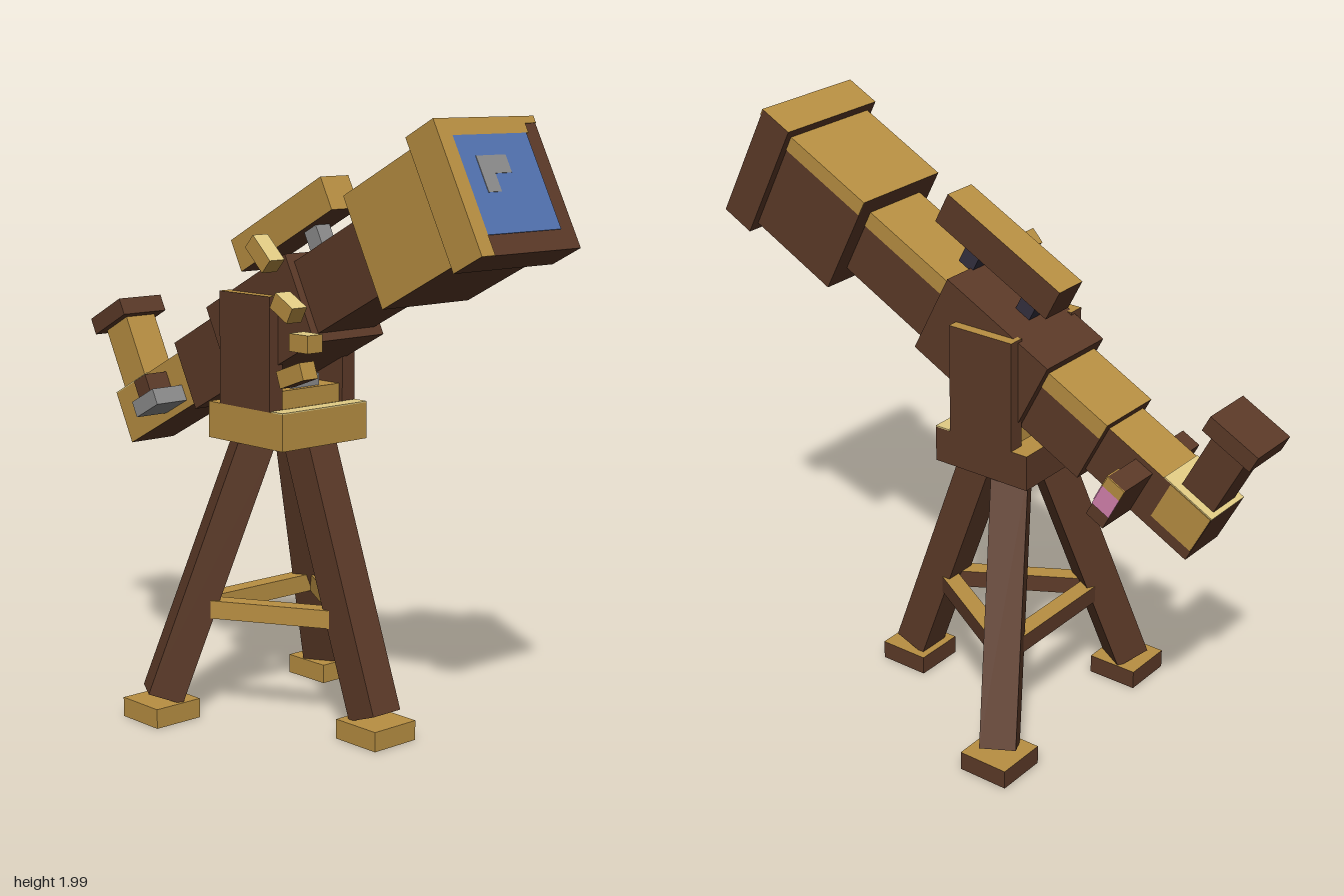
import * as THREE from 'three';

const mat = (name, color) => {
  const m = new THREE.MeshStandardMaterial({ color });
  m.name = name;
  return m;
};
const brown = mat('dark wood', 0x5c3a28);
const gold = mat('brass', 0xb88f42);
const pale = mat('pale brass', 0xe2cc84);
const blue = mat('lens blue', 0x5272b0);
const grey = mat('steel grey', 0x8c8c8c);
const navy = mat('dark steel', 0x34303f);
const pink = mat('pink', 0xd482ae);

// Face order: +x, -x, top, bottom, front, back
const trimmed = [brown, gold, gold, brown, gold, brown];
const tubeSkin = [brown, gold, gold, brown, brown, brown];
const topped = [brown, brown, gold, brown, brown, brown];

export function createModel() {
  const model = new THREE.Group();
  model.name = 'telescope';

  // Box given by its lower and upper limits on each axis
  const box = (parent, name, x0, x1, y0, y1, z0, z1, material) => {
    const mesh = new THREE.Mesh(new THREE.BoxGeometry(x1 - x0, y1 - y0, z1 - z0), material);
    mesh.position.set((x0 + x1) / 2, (y0 + y1) / 2, (z0 + z1) / 2);
    mesh.name = name;
    parent.add(mesh);
    return mesh;
  };

  // Tripod legs and feet, spaced evenly about the base
  const cz = -0.05;
  const angles = [0, 2 * Math.PI / 3, -2 * Math.PI / 3];
  const around = (a, r) => [Math.sin(a) * r, cz + Math.cos(a) * r];
  for (const a of angles) {
    const pivot = new THREE.Group();
    pivot.name = 'legPivot';
    pivot.position.z = cz;
    pivot.rotation.y = a;
    model.add(pivot);
    const leg = box(pivot, 'leg', -0.06, 0.06, -0.46, 0.46, -0.06, 0.06, brown);
    leg.position.set(0, 0.51, 0.264);
    leg.rotation.x = -Math.atan2(0.314, 0.86);
    const [fx, fz] = around(a, 0.427);
    box(model, 'foot', fx - 0.09, fx + 0.09, 0, 0.065, fz - 0.09, fz + 0.09, trimmed);
  }

  // Braces between the legs
  const braceEnds = [[angles[2], angles[0]], [angles[0], angles[1]], [angles[2], angles[1]]];
  braceEnds.forEach(([a, b], i) => {
    const [ax, az] = around(a, 0.314);
    const [bx, bz] = around(b, 0.314);
    const h = Math.hypot(bx - ax, bz - az) / 2;
    const skin = [brown, brown, gold, brown, i === 1 ? brown : gold, i === 1 ? gold : brown];
    const brace = box(model, 'brace', -h, h, 0.345, 0.405, -0.03, 0.03, skin);
    brace.position.set((ax + bx) / 2, 0.375, (az + bz) / 2);
    brace.rotation.y = Math.atan2(az - bz, bx - ax);
  });

  // Mount: base block, dial and fork
  box(model, 'mountBase', -0.185, 0.185, 0.93, 1.05, -0.23, 0.135, trimmed);
  box(model, 'baseTrim', -0.185, 0.185, 1.05, 1.054, 0.08, 0.135, pale);
  box(model, 'dialBase', -0.13, 0.13, 1.05, 1.11, -0.15, 0.06, gold);
  box(model, 'dial', -0.06, 0.06, 1.11, 1.15, -0.11, 0.04, grey);
  for (const s of [-1, 1]) {
    const fork = box(model, 'forkArm', -0.0275, 0.0275, 1.05, 1.42, -0.17, 0.075, topped);
    fork.position.x = s * 0.1585;
  }

  // Tilted optical tube; local z runs along its axis
  const tube = new THREE.Group();
  tube.name = 'opticalTube';
  tube.position.y = 1.33;
  tube.rotation.x = -THREE.MathUtils.degToRad(27.5);
  model.add(tube);
  const section = (name, half, z0, z1, skin) => box(tube, name, -half, half, -half, half, z0, z1, skin);
  section('lensHood', 0.213, 0.9, 1.02, tubeSkin);
  section('frontBarrel', 0.185, 0.56, 0.9, tubeSkin);
  section('neck', 0.122, 0.2, 0.56, topped);
  section('middleBlock', 0.15, -0.24, 0.2, brown);
  section('rearBarrel', 0.12, -0.49, -0.24, topped);
  section('eyeTube', 0.093, -0.916, -0.49, tubeSkin);

  // Brass strips along the upper edge of the side
  const strips = [[0.185, 0.132, 0.185, 0.56, 0.9], [0.122, 0.065, 0.122, 0.2, 0.56],
    [0.12, 0.06, 0.12, -0.49, -0.24], [0.093, -0.052, 0.093, -0.914, -0.75]];
  for (const [x, y0, y1, z0, z1] of strips) box(tube, 'sideStrip', x, x + 0.003, y0, y1, z0, z1, gold);
  box(tube, 'eyeTubeTop', -0.093, 0.093, 0.093, 0.097, -0.916, -0.72, pale);

  // Lens pane with brass frame and glint
  box(tube, 'frameLeft', -0.213, -0.158, -0.213, 0.213, 1.02, 1.023, gold);
  box(tube, 'frameTop', -0.158, 0.165, 0.159, 0.213, 1.02, 1.023, gold);
  box(tube, 'frameCorner', 0.165, 0.213, 0.19, 0.213, 1.02, 1.023, gold);
  box(tube, 'lens', -0.158, 0.155, -0.15, 0.159, 1.02, 1.023, blue);
  box(tube, 'glintTop', -0.095, 0.03, 0.035, 0.092, 1.023, 1.025, grey);
  box(tube, 'glintTail', -0.095, -0.04, -0.022, 0.035, 1.023, 1.025, grey);

  // Sighting bar on two posts
  box(tube, 'sightBar', -0.06, 0.06, 0.22, 0.333, -0.12, 0.37, trimmed);
  for (const z of [-0.03, 0.22]) {
    box(tube, 'sightPost', -0.03, 0.03, 0.14, 0.225, z - 0.03, z + 0.03, [navy, grey, grey, navy, grey, navy]);
  }

  // Upright eyepiece
  box(tube, 'eyepieceStem', -0.062, 0.062, 0.09, 0.327, -0.9, -0.77, [brown, gold, gold, brown, gold, brown]);
  box(tube, 'eyepieceCap', -0.092, 0.092, 0.325, 0.385, -0.93, -0.74, brown);

  // Focus knobs
  box(tube, 'focusKnob', 0.09, 0.242, -0.095, 0.075, -0.683, -0.613, brown);
  box(tube, 'knobBandSide', 0.242, 0.246, -0.045, 0.035, -0.683, -0.613, pink);
  box(tube, 'knobTipSide', 0.242, 0.246, 0.035, 0.075, -0.683, -0.613, gold);
  box(tube, 'knobBandFront', 0.09, 0.242, -0.03, 0.03, -0.613, -0.609, pink);
  box(tube, 'knobTipFront', 0.18, 0.242, 0.03, 0.075, -0.613, -0.609, gold);
  box(tube, 'focusAxle', -0.185, -0.09, -0.04, 0.06, -0.683, -0.613, brown);
  box(tube, 'steelKnob', -0.22, -0.09, -0.068, -0.012, -0.682, -0.554, grey);

  // Hanging chain: height, depth, length, tilt
  const links = [[1.56, 0.09, 0.11, 0.75], [1.4, 0.2, 0.09, 0.5], [1.298, 0.28, 0.085, 0], [1.193, 0.24, 0.115, -0.35]];
  for (const [y, z, len, tilt] of links) {
    const link = box(model, 'chainLink', -0.248, -0.187, -0.028, 0.028, -len / 2, len / 2, [gold, gold, pale, brown, gold, gold]);
    link.position.y = y;
    link.position.z = z;
    link.rotation.x = tilt;
  }
  return model;
}
